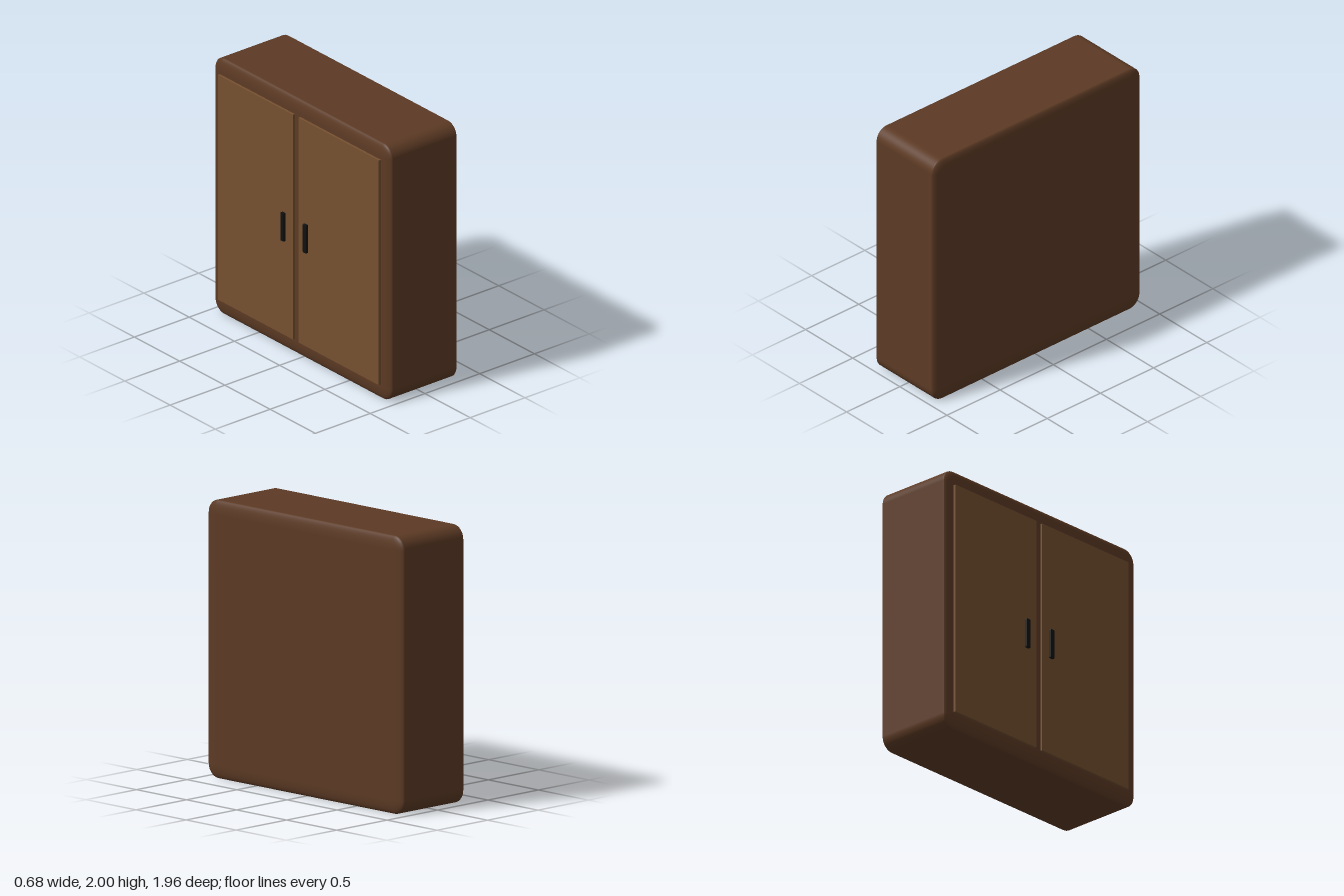
import * as THREE from 'three';
import { RoundedBoxGeometry } from 'three/addons/geometries/RoundedBoxGeometry.js';

const material = (color) => new THREE.MeshStandardMaterial({ color });

// Mesh filling the box between two corners; a radius rounds a unit cube before it is stretched
function block(name, mat, [x0, y0, z0], [x1, y1, z1], radius = 0) {
  const geometry = radius
    ? new RoundedBoxGeometry(1, 1, 1, 6, radius)
    : new THREE.BoxGeometry(1, 1, 1);
  geometry.scale(x1 - x0, y1 - y0, z1 - z0);
  const mesh = new THREE.Mesh(geometry, mat);
  mesh.name = name;
  mesh.position.set((x0 + x1) / 2, (y0 + y1) / 2, (z0 + z1) / 2);
  return mesh;
}

export function createModel() {
  const model = new THREE.Group();
  model.name = 'cabinet';
  const bodyWood = material(0x5c3a24);
  const doorWood = material(0x75502f);
  const black = material(0x111111);

  // Soft-edged cabinet body
  model.add(block('body', bodyWood, [-0.302, 0, -0.98], [0.335, 2, 0.975], 0.05));

  // Two doors on the -x side, each with an upright handle near the middle gap
  const doors = [
    { z: [-0.9, -0.07], handle: -0.168 },
    { z: [-0.01, 0.878], handle: 0.078 },
  ];
  doors.forEach(({ z, handle }, i) => {
    const door = new THREE.Group();
    door.name = `door${i + 1}`;
    door.add(
      block('doorPanel', doorWood, [-0.321, 0.12, z[0]], [-0.28, 1.88, z[1]]),
      block('handle', black, [-0.34, 0.86, handle - 0.018], [-0.315, 1.08, handle + 0.018], 0.05),
    );
    model.add(door);
  });
  return model;
}
